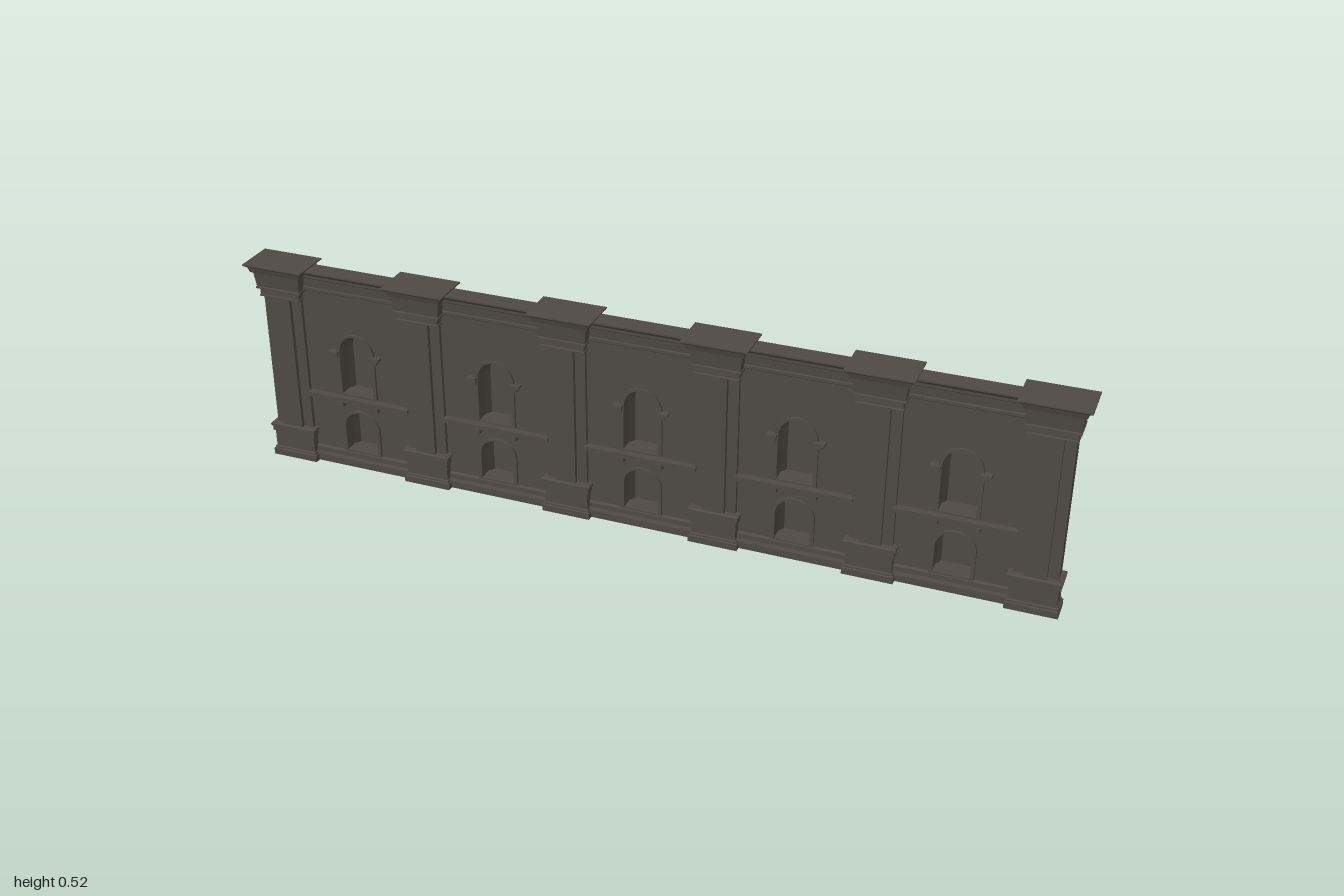
import * as THREE from 'three';

const WALL_Z = -0.006; // middle plane of the wall
const HALF = 0.01; // half wall thickness
const PITCH = 0.3688; // bay spacing

// Flat-shaded skin through rings of equal point count, with optional end caps
function loft(rings, capStart = true, capEnd = true) {
  const out = [];
  const tri = (a, b, c) => out.push(...a, ...b, ...c);
  const n = rings[0].length;
  for (let r = 0; r < rings.length - 1; r++) {
    const a = rings[r], b = rings[r + 1];
    for (let i = 0; i < n; i++) {
      const j = (i + 1) % n;
      tri(a[i], a[j], b[j]);
      tri(a[i], b[j], b[i]);
    }
  }
  const first = rings[0], last = rings[rings.length - 1];
  for (let i = 1; i < n - 1; i++) {
    if (capStart) tri(first[0], first[i + 1], first[i]);
    if (capEnd) tri(last[0], last[i], last[i + 1]);
  }
  const g = new THREE.BufferGeometry();
  g.setAttribute('position', new THREE.Float32BufferAttribute(out, 3));
  g.computeVertexNormals();
  return g;
}

// Rectangular moulding: profile of [half depth, height], widened in x by extra
function moulding(profile, extra) {
  return loft(profile.map(([d, y]) => {
    const w = d + extra;
    return [[w, y, d], [w, y, -d], [-w, y, -d], [-w, y, d]];
  }));
}

// Counter-clockwise outline of an arched opening
function archPoints(w, bottom, spring, top) {
  const pts = [new THREE.Vector2(-w, bottom), new THREE.Vector2(w, bottom)];
  for (let i = 0; i <= 12; i++) {
    const a = (Math.PI * i) / 12;
    pts.push(new THREE.Vector2(w * Math.cos(a), spring + (top - spring) * Math.sin(a)));
  }
  return pts;
}

export function createModel() {
  const model = new THREE.Group();
  const stone = new THREE.MeshStandardMaterial({ color: 0x4f4a43, side: THREE.DoubleSide });
  stone.name = 'darkStone';

  const add = (parent, name, geometry, x = 0, y = 0, z = 0) => {
    const mesh = new THREE.Mesh(geometry, stone);
    mesh.name = name;
    mesh.position.set(x, y, z);
    parent.add(mesh);
    return mesh;
  };
  const box = (parent, name, w, h, d, x, y, z = WALL_Z) =>
    add(parent, name, new THREE.BoxGeometry(w, h, d), x, y, z);

  const windows = [
    { name: 'upperNiche', w: 0.043, bottom: 0.2, spring: 0.312, top: 0.361 },
    { name: 'lowerNiche', w: 0.043, bottom: 0.042, spring: 0.113, top: 0.153 },
  ];
  const bays = [-2, -1, 0, 1, 2].map((i) => i * PITCH);

  // Wall slab pierced by the arched openings
  const wall = new THREE.Shape([
    new THREE.Vector2(-0.922, 0), new THREE.Vector2(0.922, 0),
    new THREE.Vector2(0.922, 0.51), new THREE.Vector2(-0.922, 0.51),
  ]);
  for (const x of bays) {
    for (const o of windows) {
      const pts = archPoints(o.w, o.bottom, o.spring, o.top);
      wall.holes.push(new THREE.Path(pts.map((p) => new THREE.Vector2(p.x + x, p.y)).reverse()));
    }
  }
  add(model, 'wall', new THREE.ExtrudeGeometry(wall, { depth: HALF * 2, bevelEnabled: false }),
    0, 0, WALL_Z - HALF);

  // Wall plinth and cornice
  add(model, 'wallPlinth', moulding(
    [[0.021, 0], [0.021, 0.018], [0.018, 0.024], [0.015, 0.024], [0.015, 0.036], [0.01, 0.04]], 0.9),
    0, 0, WALL_Z);
  add(model, 'wallCornice', moulding(
    [[0.01, 0.462], [0.014, 0.465], [0.014, 0.472], [0.012, 0.474], [0.014, 0.496],
      [0.018, 0.499], [0.018, 0.506], [0.024, 0.513], [0.024, 0.517]], 0.9),
    0, 0, WALL_Z);

  // Niche shells, tapering towards the back
  const nicheGeometry = (o) => {
    const ring = (inset, z) =>
      archPoints(o.w - inset, o.bottom, o.spring, o.top - inset).map((p) => [p.x, p.y, z]);
    return loft([ring(0.009, -0.042), ring(0, -0.022), ring(0, WALL_Z + HALF)], true, false);
  };
  // Raised surround showing on both wall faces
  const frameGeometry = (o) => {
    const s = new THREE.Shape(archPoints(o.w + 0.008, o.bottom - 0.002, o.spring, o.top + 0.004));
    s.holes.push(new THREE.Path(archPoints(o.w - 0.001, o.bottom + 0.002, o.spring, o.top - 0.001).reverse()));
    return new THREE.ExtrudeGeometry(s, { depth: 0.038, bevelEnabled: false });
  };
  const shells = windows.map(nicheGeometry);
  const frames = windows.map(frameGeometry);

  for (const x of bays) {
    const bay = new THREE.Group();
    bay.name = 'bay';
    bay.position.x = x;
    model.add(bay);
    windows.forEach((o, i) => {
      add(bay, o.name, shells[i]);
      add(bay, o.name + 'Surround', frames[i], 0, 0, -0.027);
    });
    // String course with a thinner fillet below
    box(bay, 'stringCourse', 0.275, 0.009, 0.054, 0, 0.189);
    box(bay, 'stringFillet', 0.27, 0.006, 0.044, 0, 0.182);
    for (const s of [-1, 1]) {
      box(bay, 'stringBracket', 0.016, 0.014, 0.05, s * 0.047, 0.175);
      // Stepped imposts at the arch springing
      box(bay, 'impostCap', 0.024, 0.007, 0.054, s * 0.056, 0.313);
      box(bay, 'impostNeck', 0.016, 0.01, 0.048, s * 0.053, 0.305);
    }
  }

  // Piers: moulded base, stepped shaft and flared capital
  const base = moulding(
    [[0.03, 0], [0.03, 0.016], [0.027, 0.018], [0.027, 0.022], [0.024, 0.024], [0.024, 0.066],
      [0.028, 0.068], [0.028, 0.08], [0.031, 0.082], [0.031, 0.088], [0.025, 0.09]], 0.03);
  const capital = moulding(
    [[0.024, 0.437], [0.027, 0.438], [0.027, 0.441], [0.025, 0.443], [0.025, 0.456],
      [0.032, 0.459], [0.032, 0.463], [0.03, 0.465], [0.034, 0.501], [0.039, 0.503],
      [0.043, 0.516], [0.051, 0.522], [0.051, 0.525]], 0.027);
  for (let i = 0; i < 6; i++) {
    const pier = new THREE.Group();
    pier.name = 'pier';
    pier.position.x = (i - 2.5) * PITCH;
    model.add(pier);
    add(pier, 'pierBase', base);
    add(pier, 'pierCapital', capital);
    box(pier, 'pierShaft', 0.1, 0.36, 0.036, 0, 0.264, -0.004);
    box(pier, 'pierFace', 0.05, 0.36, 0.05, 0, 0.264, 0);
  }
  return model;
}
